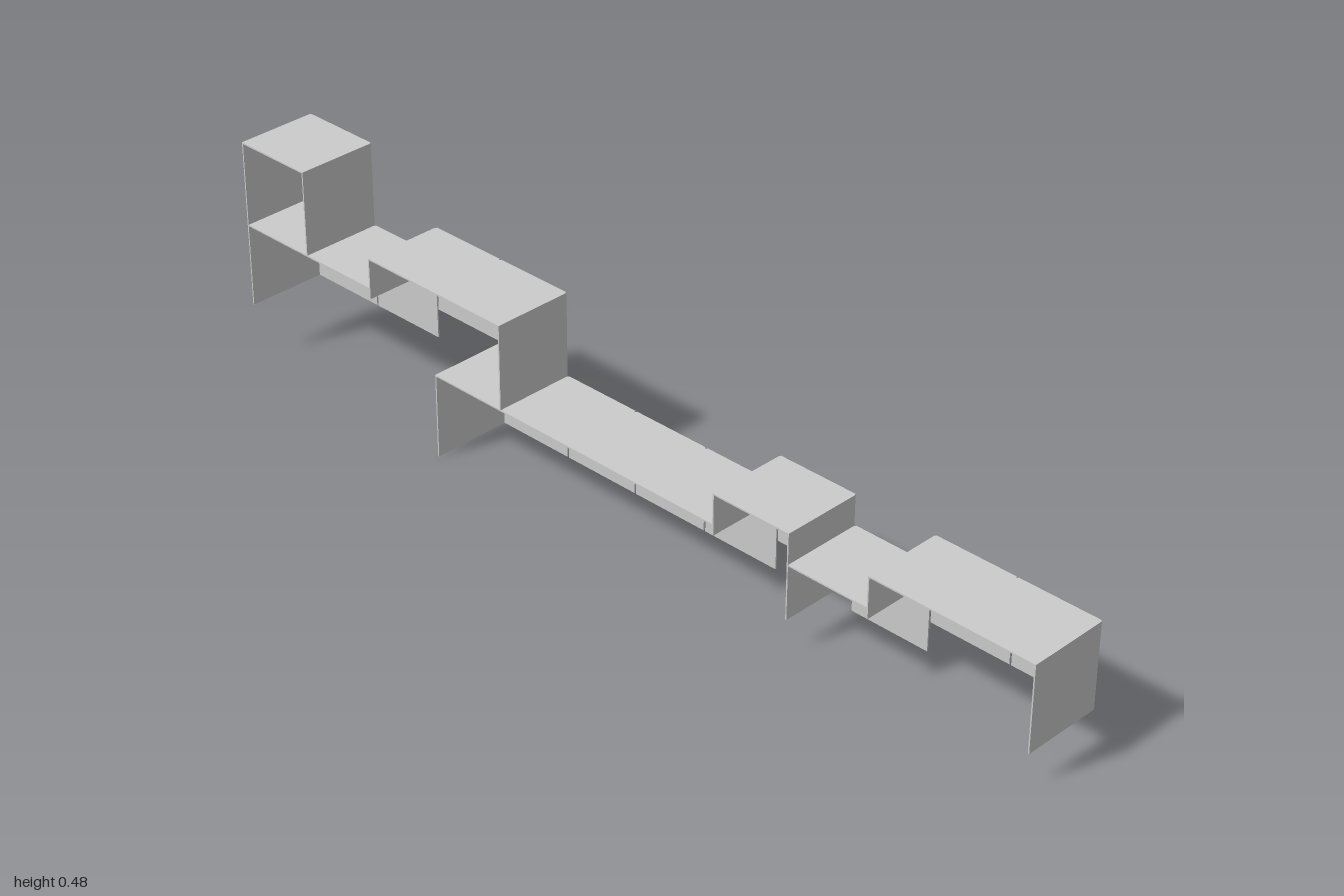
import * as THREE from 'three';

const W = 2 / 11;            // module width and height
const T = 0.003;             // sheet thickness
const BACK = -0.0893, FRONT = 0.0866;
const material = new THREE.MeshStandardMaterial({ color: 0xcccccc, side: THREE.DoubleSide });
const edge = (col) => -1 + col * W;

function add(group, name, geometry, x, y, z) {
  const mesh = new THREE.Mesh(geometry, material);
  mesh.name = name;
  mesh.position.set(x, y, z);
  group.add(mesh);
}

// Back plate with a rounded grip slot, near its top or its bottom
function backPlateGeometry(slotLow) {
  const w = W - 0.004, r = 0.011, half = 0.047 - r;
  const sy = slotLow ? 0.036 : W - 0.033;
  const shape = new THREE.Shape([
    new THREE.Vector2(-w / 2, 0), new THREE.Vector2(w / 2, 0),
    new THREE.Vector2(w / 2, W), new THREE.Vector2(-w / 2, W),
  ]);
  const slot = new THREE.Path();
  slot.absarc(half, sy, r, -Math.PI / 2, Math.PI / 2, false);
  slot.absarc(-half, sy, r, Math.PI / 2, Math.PI * 1.5, false);
  slot.closePath();
  shape.holes.push(slot);
  return new THREE.ExtrudeGeometry(shape, { depth: T, bevelEnabled: false, curveSegments: 8 });
}

export function createModel() {
  const model = new THREE.Group();
  model.name = 'modularWallShelf';
  const LOW = 0.065, MID = 0.117;
  const depth = FRONT - BACK - T, midZ = (FRONT + BACK + T) / 2;

  // Back plates: column, bottom height, slot at the bottom
  const plates = [
    [0, MID], [0, MID + W], [1, MID], [2, W], [3, 0], [3, W, true],
    [4, 0], [5, 0], [6, 0], [7, LOW, true], [8, 0], [9, LOW], [10, LOW, true],
  ];
  for (const [col, y, slotLow] of plates)
    add(model, 'backPlate', backPlateGeometry(slotLow), edge(col + 0.5), y, BACK);

  // Shelves: first column, end column, top height
  const shelves = [
    [0, 1, MID + 2 * W], [0, 2, MID + W], [2, 4, 2 * W], [3, 7, W],
    [7, 8, LOW + W], [8, 9, W], [9, 11, LOW + W],
  ];
  for (const [a, b, top] of shelves)
    add(model, 'shelf', new THREE.BoxGeometry((b - a) * W, T, depth),
      edge((a + b) / 2), top - T / 2, midZ);

  // Side panels: column edge, top height, panel height, inward side
  const HALF = 0.088;
  const sides = [
    [0, MID + 2 * W, W, 1], [1, MID + 2 * W, W, -1], [0, MID + W, W, 1],
    [2, 2 * W, HALF, 1], [4, 2 * W, W, -1], [3, W, W, 1],
    [7, LOW + W, HALF, 1], [8, LOW + W, W, -1],
    [9, LOW + W, HALF, 1], [11, LOW + W, W, -1],
  ];
  for (const [col, top, h, inward] of sides)
    add(model, h === W ? 'sidePanel' : 'shortSidePanel', new THREE.BoxGeometry(T, h, depth),
      edge(col) + inward * T / 2, top - h / 2, midZ);

  return model;
}
